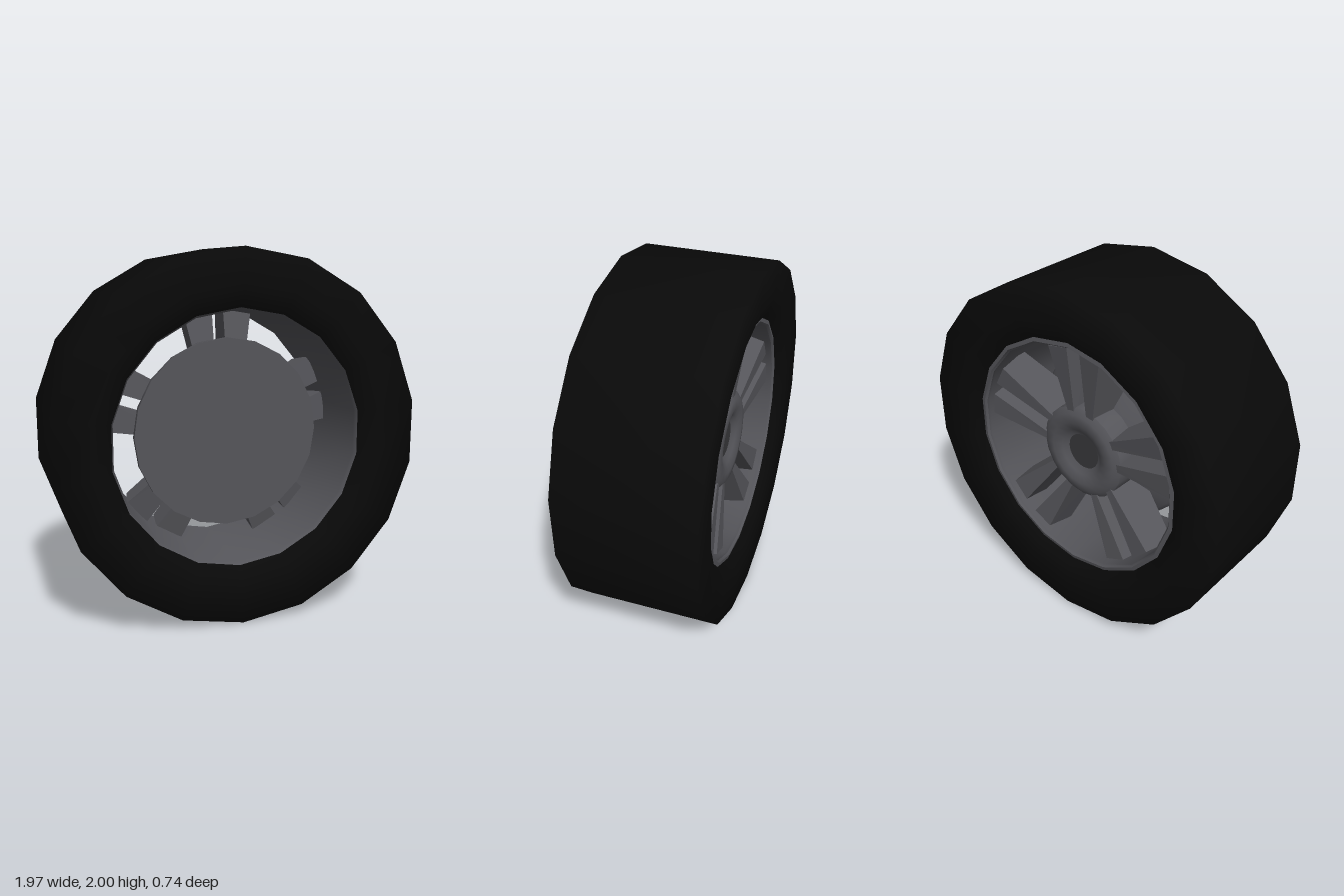
import * as THREE from 'three';
import { toCreasedNormals } from 'three/addons/utils/BufferGeometryUtils.js';

const black = new THREE.MeshStandardMaterial({ color: 0x090909 });
const metal = new THREE.MeshStandardMaterial({ color: 0x55555a });
const metalFlat = new THREE.MeshStandardMaterial({ color: 0x55555a, flatShading: true });
const metalOpen = new THREE.MeshStandardMaterial({ color: 0x55555a, side: THREE.DoubleSide });
const dark = new THREE.MeshStandardMaterial({ color: 0x3a3a3c });

// Turn a [radius, z] profile around the wheel's axle
function turned(profile, sides) {
  const points = profile.map(([r, z]) => new THREE.Vector2(r, z));
  return new THREE.LatheGeometry(points, sides).rotateX(Math.PI / 2);
}

function addPart(parent, name, geometry, material) {
  const mesh = new THREE.Mesh(geometry, material);
  mesh.name = name;
  parent.add(mesh);
  return mesh;
}

// Tapered spoke pointing up: one straight inner edge, one flaring outer edge
function spokeGeometry(side) {
  const geometry = new THREE.BoxGeometry(1, 1, 1);
  const pos = geometry.attributes.position;
  const lerp = THREE.MathUtils.lerp;
  for (let i = 0; i < pos.count; i++) {
    const across = side * pos.getX(i) + 0.5; // 0 beside the pair's gap
    const along = pos.getY(i) + 0.5;         // 0 at the hub
    const front = pos.getZ(i) + 0.5;         // 0 at the back face
    const flare = lerp(0.1, 0.196, along) - (1 - front) * 0.025;
    const x = side * lerp(0.033 + (1 - front) * 0.01, flare, across);
    const reach = lerp(0.64, 0.67, front) - across * 0.025;
    const z = front ? lerp(0.02, -0.09, along) : lerp(-0.22, -0.27, along);
    pos.setXYZ(i, x, lerp(0.18, reach, along), z);
  }
  return geometry;
}

export function createModel() {
  const wheel = new THREE.Group();
  wheel.name = 'wheel';
  const body = new THREE.Group();
  body.name = 'wheelBody';
  body.position.y = 1;
  wheel.add(body);

  // Square-shouldered tyre whose sidewalls roll in towards the rim
  const sidewall = [[0.695, 0.305], [0.73, 0.345], [0.8, 0.37], [1, 0.37]];
  addPart(body, 'tyre', turned([
    ...sidewall.map(([r, z]) => [r, -z]),
    ...sidewall.toReversed(),
  ], 18), black);

  // Rim barrel with a thin lip at the back
  addPart(body, 'rim', toCreasedNormals(turned([
    [0.695, 0.305], [0.683, 0.28], [0.668, -0.28], [0.665, -0.3], [0.675, -0.312], [0.697, -0.308],
  ], 18), 0.6), metalOpen);

  // Flat-fronted drum narrowing to a rounded hub at the back
  addPart(body, 'drumAndHub', toCreasedNormals(turned([
    [0, -0.2], [0.105, -0.2], [0.14, -0.225], [0.19, -0.245], [0.24, -0.24], [0.275, -0.215],
    [0.28, -0.08], [0.5, 0.03], [0.524, 0.06], [0.524, 0.09], [0, 0.09],
  ], 20), 0.9), metal);

  // Dark cap in the hub's recess
  const cap = addPart(body, 'hubCap', new THREE.CircleGeometry(0.105, 20), dark);
  cap.rotation.y = Math.PI;
  cap.position.z = -0.203;

  // Five pairs of spokes
  const spokes = [spokeGeometry(-1), spokeGeometry(1)];
  for (let i = 0; i < 5; i++) {
    const pair = new THREE.Group();
    pair.name = 'spokePair';
    pair.rotation.z = (i * Math.PI * 2) / 5;
    spokes.forEach((geometry) => addPart(pair, 'spoke', geometry, metalFlat));
    body.add(pair);
  }
  return wheel;
}
